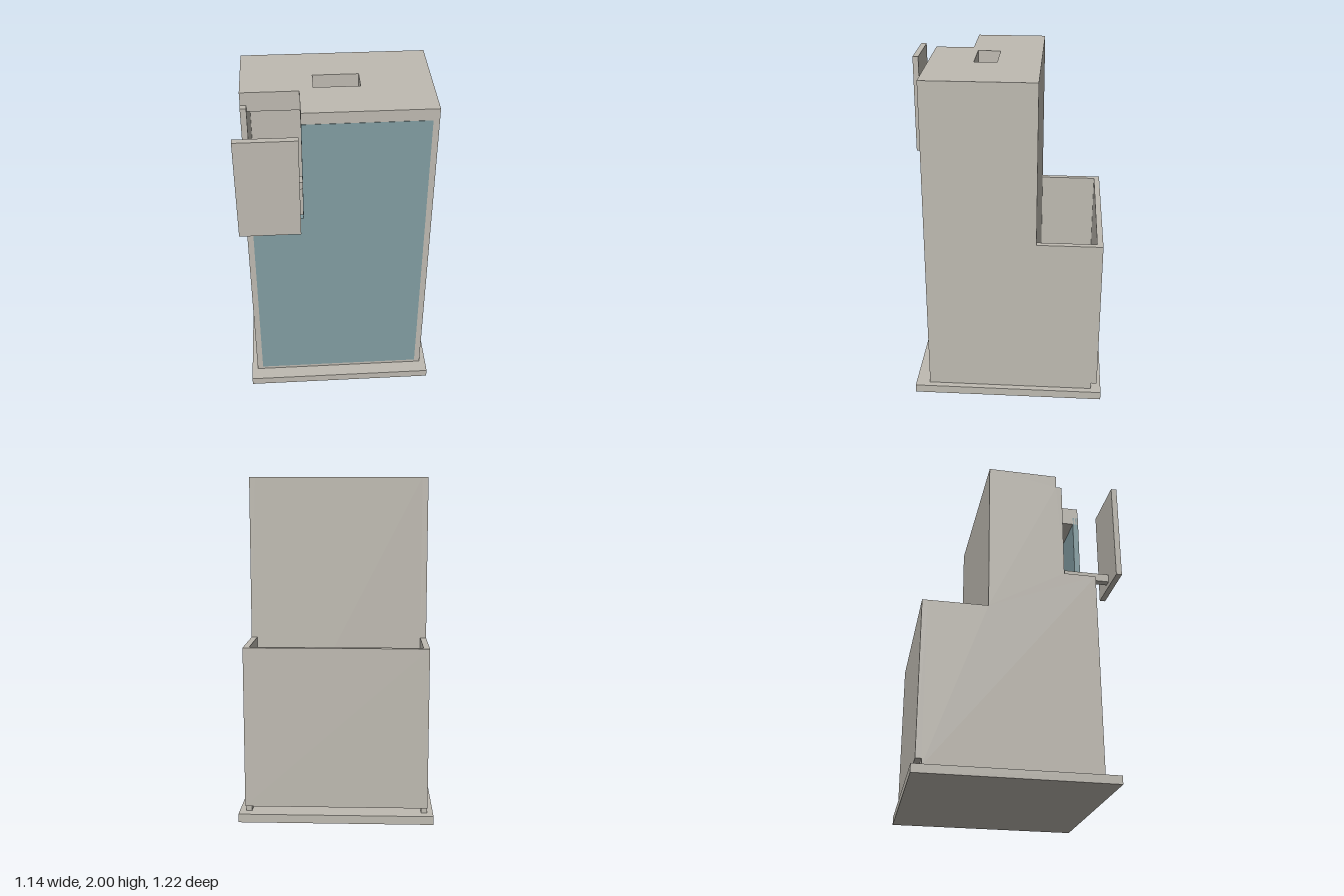
import * as THREE from 'three';

const grey = new THREE.MeshStandardMaterial({ color: 0xbebab1 });
grey.name = 'warm grey';
const blue = new THREE.MeshStandardMaterial({ color: 0x829da2 });
blue.name = 'dusty blue';

// Box given by its limits on each axis
function box(name, [x0, x1], [y0, y1], [z0, z1], material = grey) {
  const mesh = new THREE.Mesh(new THREE.BoxGeometry(x1 - x0, y1 - y0, z1 - z0), material);
  mesh.position.set((x0 + x1) / 2, (y0 + y1) / 2, (z0 + z1) / 2);
  mesh.name = name;
  return mesh;
}

const toShape = (points) => new THREE.Shape(points.map(([a, b]) => new THREE.Vector2(a, b)));
const extrude = (shape, depth) => new THREE.ExtrudeGeometry(shape, { depth, bevelEnabled: false });

// Side panel cut from a (z, y) outline, inner thickness running along x
function sidePanel(name, outline, xMax) {
  const geometry = extrude(toShape(outline), 0.035);
  geometry.rotateY(-Math.PI / 2).translate(xMax, 0, 0);
  const mesh = new THREE.Mesh(geometry, grey);
  mesh.name = name;
  return mesh;
}

export function createModel() {
  const model = new THREE.Group();
  model.name = 'cabinet';

  model.add(box('basePlate', [-0.57, 0.57], [0, 0.05], [-0.61, 0.54]));

  // Side panels, the right one cut away at the upper front
  const rear = [[-0.2, 2], [-0.2, 1.035], [-0.55, 1.035], [-0.55, 0.05], [0.455, 0.05]];
  model.add(sidePanel('leftSide', [...rear, [0.455, 2]], 0.532));
  model.add(sidePanel('rightSide',
    [...rear, [0.455, 1.3], [0.26, 1.3], [0.26, 1.92], [0.225, 1.92], [0.225, 2]], -0.5));

  // Back wall of the tall part and back of the open rear bin
  model.add(box('backWall', [-0.5, 0.498], [0.05, 2], [-0.2, -0.165]));
  model.add(box('binBack', [-0.535, 0.532], [0.09, 1.035], [-0.585, -0.55]));

  // Thick roof with the front corner cut out and a rectangular opening
  const roofShape = toShape([[-0.5, 0.165], [-0.5, -0.225], [-0.208, -0.225],
    [-0.208, -0.455], [0.498, -0.455], [0.498, 0.165]]);
  roofShape.holes.push(new THREE.Path(
    [[-0.13, -0.055], [0.13, -0.055], [0.13, -0.19], [-0.13, -0.19]]
      .map(([a, b]) => new THREE.Vector2(a, b))));
  const roof = new THREE.Mesh(extrude(roofShape, 0.12), grey);
  roof.geometry.rotateX(-Math.PI / 2).translate(0, 1.88, 0);
  roof.name = 'roof';
  model.add(roof);

  // Pocket floor and its low lips
  model.add(box('pocketFloor', [-0.13, 0.13], [1.88, 1.9], [0.055, 0.19]));
  for (const s of [-1, 1]) {
    const lip = box('pocketLip', [-0.0125, 0.0125], [1.9, 1.91], [0.055, 0.19]);
    lip.position.x = s * 0.1175;
    model.add(lip);
  }
  model.add(box('pocketFrontLip', [-0.105, 0.105], [1.9, 1.91], [0.165, 0.19]));

  // Blue front panel around the cutaway corner, above a slim grey sill
  const front = new THREE.Mesh(extrude(toShape([[-0.5, 0.07], [0.497, 0.07],
    [0.497, 1.93], [-0.208, 1.93], [-0.208, 1.3], [-0.5, 1.3]]), 0.036), blue);
  front.position.z = 0.421;
  front.name = 'frontPanel';
  model.add(front);
  model.add(box('frontSill', [-0.5, 0.498], [0.05, 0.07], [0.42, 0.455]));

  // Screen carried by an arm on an inner post and crossbeam
  model.add(box('crossbeam', [-0.43, 0.497], [1.38, 1.43], [0.225, 0.285]));
  model.add(box('supportPost', [-0.43, -0.365], [0.05, 1.38], [0.23, 0.295]));
  model.add(box('screenArm', [-0.42, -0.375], [1.34, 1.39], [0.28, 0.58]));
  model.add(box('screen', [-0.57, -0.225], [1.31, 1.93], [0.575, 0.61]));

  return model;
}
